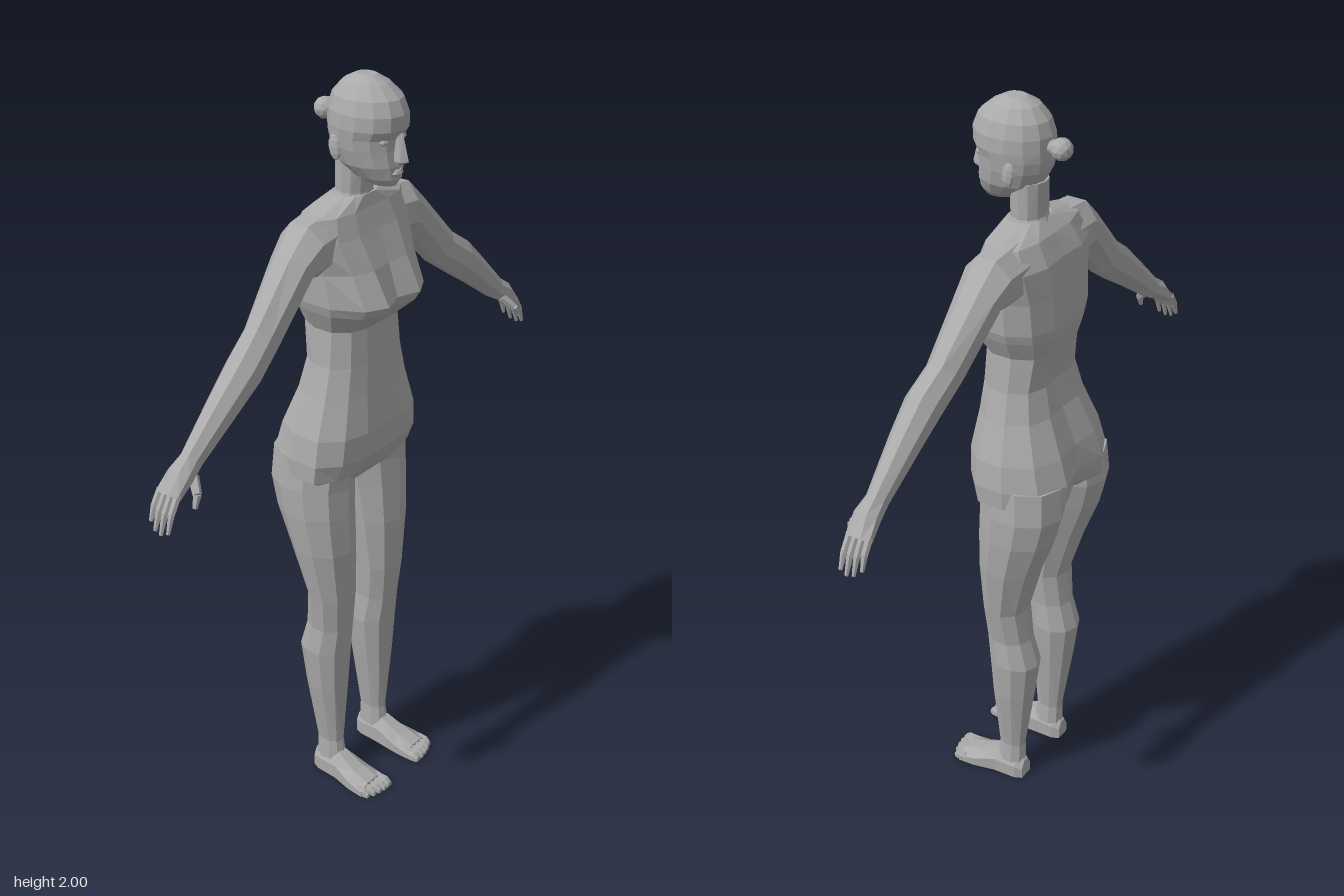
import * as THREE from 'three';

const V = (x, y, z) => new THREE.Vector3(x, y, z);

// Closed skin through rings of equal point count, wound outwards.
function loft(rings) {
  const tris = [];
  const n = rings[0].length;
  for (let i = 0; i < rings.length - 1; i++) {
    for (let j = 0; j < n; j++) {
      const k = (j + 1) % n;
      const a = rings[i][j], b = rings[i][k], c = rings[i + 1][k], d = rings[i + 1][j];
      tris.push([a, b, c], [a, c, d]);
    }
  }
  [rings[0], rings[rings.length - 1]].forEach((ring, end) => {
    const mid = ring.reduce((s, p) => s.add(p), V(0, 0, 0)).divideScalar(n);
    for (let j = 0; j < n; j++) {
      const a = ring[j], b = ring[(j + 1) % n];
      tris.push(end ? [mid, a, b] : [mid, b, a]);
    }
  });
  const volume = tris.reduce((s, [a, b, c]) => s + a.dot(b.clone().cross(c)), 0);
  if (volume < 0) tris.forEach((t) => t.reverse());
  const g = new THREE.BufferGeometry().setFromPoints(tris.flat());
  g.computeVertexNormals();
  return g;
}

// Horizontal oval ring
function oval(y, cx, hw, zf, zb, sides = 12) {
  return Array.from({ length: sides }, (_, i) => {
    const a = (i / sides) * Math.PI * 2;
    return V(cx + hw * Math.sin(a), y, (zf + zb) / 2 + ((zf - zb) / 2) * Math.cos(a));
  });
}

// Torso ring: half outline from front centre to back centre, mirrored
const OUTLINE = [[0, 1], [0.4, 1], [0.75, 0.8], [1, 0.3], [1, -0.3], [0.8, -0.78], [0.42, -1], [0, -1]];
function torsoRing([y, hw, zf, zb, frontDip = 1, backDip = 1]) {
  const half = OUTLINE.map(([u, v], i) => {
    const dip = i === 0 ? frontDip : i === 7 ? backDip : 1;
    return V(u * hw, y, (v > 0 ? v * zf : -v * zb) * dip);
  });
  const other = half.slice(1, 7).reverse().map((p) => V(-p.x, p.y, p.z));
  return [...half, ...other];
}

export function createModel() {
  const model = new THREE.Group();
  model.name = 'figure';
  const skin = new THREE.MeshStandardMaterial({ color: 0xaaaaaa, flatShading: true });
  skin.name = 'grey';

  const add = (name, geometry, parent = model) => {
    const mesh = new THREE.Mesh(geometry, skin);
    mesh.name = name;
    parent.add(mesh);
    return mesh;
  };
  // Tapered rod between two points, used for fingers
  const rod = (name, a, b, r1, r2, parent) => {
    const d = b.clone().sub(a);
    const m = add(name, new THREE.CylinderGeometry(r2, r1, d.length(), 6), parent);
    m.position.copy(a).addScaledVector(d, 0.5);
    m.quaternion.setFromUnitVectors(V(0, 1, 0), d.normalize());
  };

  // Torso: y, half width, front z, back z, front and back centre dips
  add('torso', loft([
    [1.705, 0.06, 0.042, -0.048],
    [1.675, 0.165, 0.05, -0.075],
    [1.62, 0.185, 0.07, -0.105, 1, 0.95],
    [1.54, 0.165, 0.108, -0.115, 0.94, 0.92],
    [1.455, 0.16, 0.152, -0.12, 0.85, 0.92],
    [1.43, 0.152, 0.137, -0.118, 0.85, 0.92],
    [1.375, 0.126, 0.075, -0.105, 1, 0.92],
    [1.28, 0.136, 0.08, -0.09, 1, 0.92],
    [1.2, 0.158, 0.086, -0.108, 1, 0.95],
    [1.1, 0.193, 0.099, -0.15, 1, 0.95],
    [1.03, 0.203, 0.095, -0.172, 1, 0.88],
    [0.98, 0.201, 0.072, -0.171, 1, 0.82],
    [0.945, 0.14, 0.045, -0.13, 1, 0.75],
  ].map(torsoRing)));

  add('neck', loft([
    oval(1.67, 0, 0.07, 0.045, -0.07),
    oval(1.71, 0, 0.052, 0.04, -0.048),
    oval(1.8, 0, 0.05, 0.045, -0.05),
  ]));

  // Head, from chin to crown
  const head = new THREE.Group();
  head.name = 'head';
  model.add(head);
  add('skull', loft([
    [1.74, 0.026, 0.118, 0.045],
    [1.758, 0.046, 0.129, 0],
    [1.79, 0.068, 0.13, -0.04],
    [1.83, 0.079, 0.126, -0.06],
    [1.858, 0.083, 0.127, -0.066],
    [1.88, 0.086, 0.141, -0.067],
    [1.915, 0.084, 0.142, -0.066],
    [1.95, 0.073, 0.128, -0.055],
    [1.98, 0.05, 0.092, -0.028],
    [1.997, 0.022, 0.06, 0.005],
  ].map(([y, hw, zf, zb]) => oval(y, 0, hw, zf, zb, 14))), head);
  add('nose', loft([
    oval(1.795, 0, 0.012, 0.138, 0.1, 6),
    oval(1.805, 0, 0.017, 0.157, 0.1, 6),
    oval(1.872, 0, 0.007, 0.139, 0.1, 6),
  ]), head);
  add('lips', loft([
    oval(1.763, 0, 0.014, 0.129, 0.1, 8),
    oval(1.773, 0, 0.024, 0.137, 0.09, 8),
    oval(1.784, 0, 0.012, 0.134, 0.1, 8),
  ]), head);
  add('bun', new THREE.IcosahedronGeometry(0.028, 1), head).position.set(0, 1.89, -0.092);
  add('bunBase', new THREE.IcosahedronGeometry(0.018, 1), head).position.set(0, 1.89, -0.066);

  for (const s of [1, -1]) {
    const side = s > 0 ? 'left' : 'right';
    const eye = add(side + 'Eye', new THREE.SphereGeometry(0.015, 8, 6), head);
    eye.position.set(s * 0.033, 1.853, 0.109);
    eye.scale.set(1.1, 0.6, 0.8);
    const ear = add(side + 'Ear', new THREE.SphereGeometry(0.03, 8, 6), head);
    ear.position.set(s * 0.083, 1.833, 0.002);
    ear.scale.set(0.28, 1.05, 0.6);
    ear.rotation.x = -0.15;

    // Arm: upper edge x, y, lower edge x, y, front z, back z
    const arm = new THREE.Group();
    arm.name = side + 'Arm';
    model.add(arm);
    add('armAndPalm', loft([
      [0.09, 1.688, 0.09, 1.53, 0.05, -0.085],
      [0.2, 1.672, 0.165, 1.535, 0.052, -0.078],
      [0.265, 1.612, 0.197, 1.54, 0.043, -0.065],
      [0.395, 1.476, 0.32, 1.41, 0.04, -0.043],
      [0.46, 1.43, 0.412, 1.345, 0.05, -0.036],
      [0.53, 1.365, 0.49, 1.293, 0.044, -0.03],
      [0.642, 1.258, 0.605, 1.212, 0.031, -0.02],
      [0.68, 1.232, 0.645, 1.19, 0.038, -0.026],
      [0.715, 1.185, 0.69, 1.165, 0.036, -0.032],
    ].map(([tx, ty, bx, by, zf, zb]) => Array.from({ length: 8 }, (_, i) => {
      const a = ((i + 0.5) / 8) * Math.PI * 2;
      const c = Math.cos(a) * 0.54, f = Math.sin(a) * 0.54;
      return V(s * ((tx + bx) / 2 + c * (tx - bx)), (ty + by) / 2 + c * (ty - by),
        (zf + zb) / 2 + f * (zf - zb));
    }))), arm);
    for (let i = 0; i < 4; i++) {
      const z = 0.028 - i * 0.0175;
      const reach = [0.92, 1, 0.95, 0.78][i];
      const knuckle = V(s * 0.698, 1.182, z);
      const joint = V(s * (0.698 + 0.028 * reach), 1.182 - 0.043 * reach, z * 1.05);
      const tip = V(s * (0.698 + 0.045 * reach), 1.182 - 0.09 * reach, z * 1.1);
      rod('finger', knuckle, joint, 0.01, 0.009, arm);
      rod('fingerTip', joint, tip, 0.009, 0.005, arm);
    }
    rod('thumb', V(s * 0.64, 1.205, 0.025), V(s * 0.66, 1.175, 0.053), 0.013, 0.011, arm);
    rod('thumbTip', V(s * 0.66, 1.175, 0.053), V(s * 0.672, 1.145, 0.055), 0.011, 0.006, arm);

    // Leg: y, centre x, half width, front z, back z
    const leg = new THREE.Group();
    leg.name = side + 'Leg';
    model.add(leg);
    add('thighAndShin', loft([
      [1.03, 0.105, 0.092, 0.07, -0.165],
      [0.94, 0.11, 0.096, 0.062, -0.17],
      [0.86, 0.113, 0.092, 0.064, -0.15],
      [0.75, 0.111, 0.084, 0.066, -0.108],
      [0.6, 0.104, 0.067, 0.062, -0.062],
      [0.5, 0.101, 0.057, 0.055, -0.073],
      [0.42, 0.101, 0.063, 0.047, -0.096],
      [0.3, 0.101, 0.052, 0.04, -0.08],
      [0.11, 0.098, 0.027, 0.028, -0.052],
      [0.05, 0.098, 0.032, 0.035, -0.053],
    ].map(([y, cx, hw, zf, zb]) => oval(y, s * cx, hw, zf, zb, 10))), leg);
    // Foot: z, inner x, outer x, top y
    add('foot', loft([
      [-0.056, 0.078, 0.12, 0.055],
      [-0.035, 0.069, 0.13, 0.07],
      [0.03, 0.065, 0.135, 0.075],
      [0.09, 0.058, 0.151, 0.045],
      [0.138, 0.056, 0.156, 0.028],
    ].map(([z, a, b, h]) => [[a, 0], [b, 0], [b, h * 0.55], [b * 0.7 + a * 0.3, h],
      [a * 0.7 + b * 0.3, h], [a, h * 0.6]].map(([x, y]) => V(s * x, y, z)))), leg);
    for (let i = 0; i < 5; i++) {
      const w = i ? 0.0075 : 0.0125;
      const x = i ? 0.071 + i * 0.0185 : 0.07;
      const end = [0.174, 0.174, 0.171, 0.166, 0.157][i];
      add('toe', loft([[0.12, 1, 0.026], [end - 0.012, 1, 0.024], [end, 0.7, 0.014]].map(
        ([z, k, h]) => [[-w, 0], [w, 0], [w, h * 0.6], [w * 0.5, h], [-w * 0.5, h], [-w, h * 0.6]]
          .map(([dx, y]) => V(s * (x + dx * k), y, z)))), leg);
    }
  }
  return model;
}
